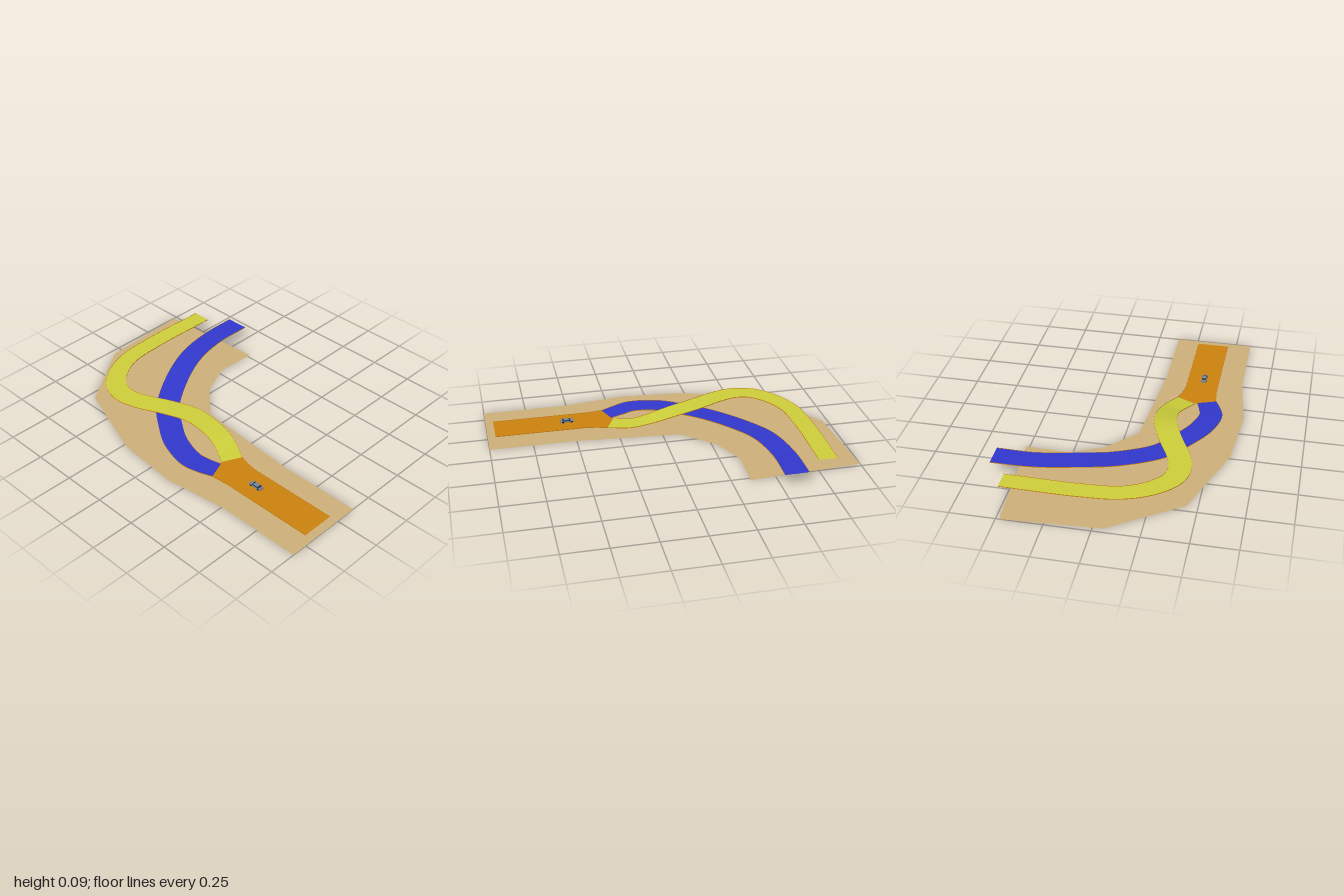
import * as THREE from 'three';

const mat = (name, color, side = THREE.FrontSide) => {
  const m = new THREE.MeshStandardMaterial({ color, side });
  m.name = name;
  return m;
};

// Surface strip between two rows of points; faces up when a is left of b
function strip(a, b) {
  const pos = [], idx = [];
  a.forEach((p, i) => {
    pos.push(p.x, p.y, p.z, b[i].x, b[i].y, b[i].z);
    if (i) {
      const k = 2 * i;
      idx.push(k - 2, k - 1, k, k - 1, k + 1, k);
    }
  });
  const g = new THREE.BufferGeometry();
  g.setAttribute('position', new THREE.Float32BufferAttribute(pos, 3));
  g.setIndex(idx);
  g.computeVertexNormals();
  return g;
}

// Flat polygon from [x, z] corners at height y
function plate(points, y) {
  const g = new THREE.ShapeGeometry(new THREE.Shape(points.map(([x, z]) => new THREE.Vector2(x, -z))));
  return g.rotateX(-Math.PI / 2).translate(0, y, 0);
}

export function createModel() {
  const model = new THREE.Group();
  model.name = 'roadFork';
  const D = THREE.DoubleSide;
  const sand = mat('sand', 0xcdb079, D);
  const orange = mat('orange', 0xcc820f, D);
  const yellow = mat('yellow', 0xcdcf3b, D);
  const blue = mat('blue', 0x3238cd, D);
  const carPaint = mat('carGreyBlue', 0x76869c);
  const glass = mat('darkGlass', 0x2b3442);
  const rubber = mat('rubber', 0x24221f);

  const add = (parent, name, geo, material) => {
    const m = new THREE.Mesh(geo, material);
    m.name = name;
    parent.add(m);
    return m;
  };

  // Low upright edge along a row of points
  const rail = (parent, name, row) => {
    const up = row.map((p) => p.clone().setY(p.y + 0.003));
    const down = row.map((p) => p.clone().setY(p.y - 0.002));
    add(parent, name, strip(down, up), orange);
  };

  // Ground
  add(model, 'ground', plate([
    [-0.59, 1], [-0.125, 1], [-0.125, 0.53], [-0.075, -0.1], [0.09, -0.28],
    [0.28, -0.365], [0.52, -0.355], [0.48, -1], [-0.055, -0.97], [-0.44, -0.705],
    [-0.61, -0.23], [-0.64, 0.15], [-0.59, 0.52],
  ], 0), sand);

  // Straight main road, ending in the notch where the branches begin
  const main = new THREE.Group();
  main.name = 'mainRoad';
  model.add(main);
  const left = [[-0.45, 0.955], [-0.45, 0.4], [-0.46, 0.297]];
  const right = [[-0.26, 0.955], [-0.26, 0.42], [-0.25, 0.36], [-0.232, 0.3]];
  add(main, 'mainRoadSurface', plate([
    ...left, [-0.355, 0.256], [-0.341, 0.25], ...[...right].reverse(),
  ].reverse(), 0.008), orange);
  [left, right].forEach((row, i) =>
    rail(main, i ? 'mainRoadRightEdge' : 'mainRoadLeftEdge',
      row.map(([x, z]) => new THREE.Vector3(x, 0.008, z))));

  // Branch road swept along [x, y, z, halfWidth] stations
  const road = (name, stations, material) => {
    const group = new THREE.Group();
    group.name = name;
    model.add(group);
    const curve = new THREE.CatmullRomCurve3(stations.map(([x, y, z]) => new THREE.Vector3(x, y, z)));
    const n = 90, a = [], b = [];
    for (let i = 0; i <= n; i++) {
      const f = (i / n) * (stations.length - 1);
      const k = Math.min(Math.floor(f), stations.length - 2);
      const w = THREE.MathUtils.lerp(stations[k][3], stations[k + 1][3], f - k);
      const p = curve.getPoint(i / n), t = curve.getTangent(i / n);
      const s = new THREE.Vector3(-t.z, 0, t.x).setLength(w);
      a.push(p.clone().sub(s));
      b.push(p.clone().add(s));
    }
    add(group, name + 'Surface', strip(a, b), material);
    rail(group, name + 'LeftEdge', a);
    rail(group, name + 'RightEdge', b);
  };

  // Upper road crosses over the lower one
  road('overpass', [
    [-0.286, 0.008, 0.275, 0.06], [-0.228, 0.025, 0.16, 0.06], [-0.209, 0.052, 0.055, 0.062],
    [-0.222, 0.08, -0.09, 0.064], [-0.275, 0.085, -0.24, 0.064], [-0.345, 0.085, -0.395, 0.063],
    [-0.37, 0.085, -0.495, 0.062], [-0.35, 0.085, -0.6, 0.06], [-0.265, 0.085, -0.695, 0.057],
    [-0.115, 0.085, -0.77, 0.054], [0.11, 0.085, -0.793, 0.054], [0.53, 0.085, -0.79, 0.054],
  ], yellow);
  road('underpass', [
    [-0.407, 0.008, 0.278, 0.057], [-0.434, 0.013, 0.205, 0.062], [-0.452, 0.022, 0.12, 0.066],
    [-0.413, 0.031, -0.035, 0.067], [-0.328, 0.032, -0.172, 0.067], [-0.227, 0.033, -0.3, 0.067],
    [-0.01, 0.055, -0.447, 0.067], [0.19, 0.078, -0.53, 0.067], [0.413, 0.08, -0.574, 0.066],
    [0.637, 0.08, -0.577, 0.068],
  ], blue);

  // Small car driving towards the fork
  const car = new THREE.Group();
  car.name = 'car';
  car.position.set(-0.357, 0.008, 0.525);
  model.add(car);
  const box = (name, w, h, d, y, z, material) =>
    add(car, name, new THREE.BoxGeometry(w, h, d).translate(0, y, z), material);
  box('carBody', 0.029, 0.008, 0.08, 0.008, 0, carPaint);
  box('carWindows', 0.025, 0.006, 0.046, 0.015, 0.004, glass);
  box('carRoof', 0.024, 0.002, 0.03, 0.019, 0.004, carPaint);
  for (const x of [-0.0135, 0.0135]) {
    for (const z of [-0.025, 0.025]) {
      const wheel = add(car, 'wheel', new THREE.CylinderGeometry(0.006, 0.006, 0.005, 12), rubber);
      wheel.rotation.z = Math.PI / 2;
      wheel.position.set(x, 0.006, z);
    }
  }
  return model;
}
